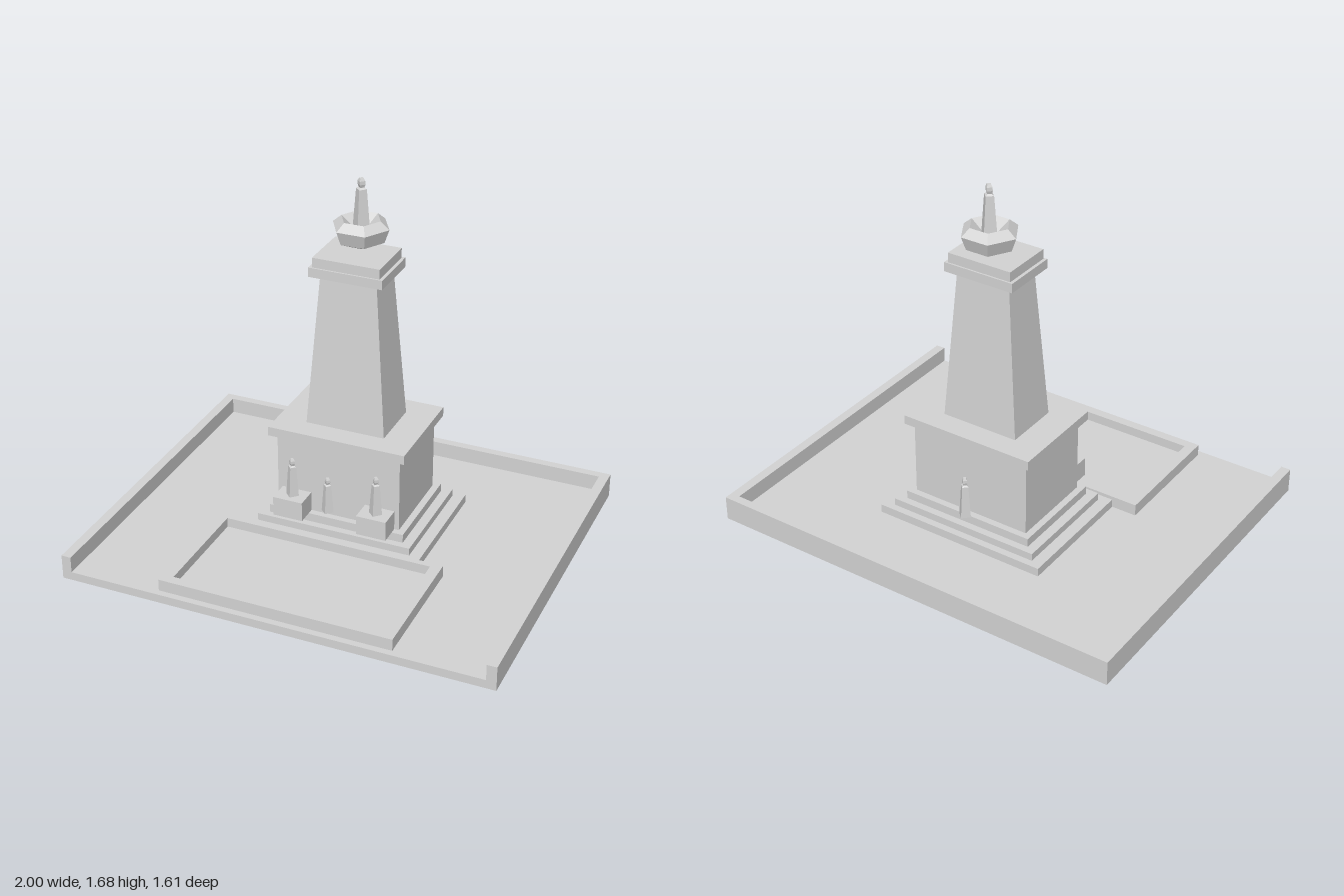
import * as THREE from 'three';

export function createModel() {
  const model = new THREE.Group();
  const stone = new THREE.MeshStandardMaterial({
    color: 0xd4d4d4, flatShading: true, side: THREE.DoubleSide,
  });
  stone.name = 'grey stone';

  const add = (name, geometry, x = 0, y = 0, z = 0) => {
    const mesh = new THREE.Mesh(geometry, stone);
    mesh.name = name;
    mesh.position.set(x, y, z);
    model.add(mesh);
    return mesh;
  };
  // Box given by its limits on each axis
  const block = (name, x0, x1, y0, y1, z0, z1) =>
    add(name, new THREE.BoxGeometry(x1 - x0, y1 - y0, z1 - z0),
      (x0 + x1) / 2, (y0 + y1) / 2, (z0 + z1) / 2);
  const centredBlock = (name, halfX, y0, y1, z0, z1) => block(name, -halfX, halfX, y0, y1, z0, z1);
  const lathe = (profile, sides, start = 0) =>
    new THREE.LatheGeometry(profile.map(([r, y]) => new THREE.Vector2(r, y)), sides, start);

  // Court floor: a shallow shell that is open underneath
  const court = centredBlock('courtFloor', 1, 0, 0.04, -0.805, 0.805).geometry;
  const faces = Array.from(court.index.array);
  faces.splice(18, 6); // drop the bottom face
  court.setIndex(faces);
  court.clearGroups();

  // Low walls on the back and both sides
  centredBlock('courtBackWall', 0.955, 0.04, 0.115, -0.805, -0.765);
  for (const s of [-1, 1]) {
    const [a, b] = [s * 0.955, s].sort((p, q) => p - q);
    block('courtSideWall', a, b, 0.04, 0.115, -0.805, 0.805);
  }

  // Front basin, closed by a rim on all four sides
  centredBlock('basinFloor', 0.49, 0.04, 0.05, 0.22, 0.73);
  centredBlock('basinFrontWall', 0.49, 0.04, 0.095, 0.73, 0.775);
  centredBlock('basinBackWall', 0.49, 0.04, 0.095, 0.192, 0.22);
  for (const s of [-1, 1]) {
    const [a, b] = [s * 0.49, s * 0.54].sort((p, q) => p - q);
    block('basinSideWall', a, b, 0.04, 0.095, 0.192, 0.775);
  }

  // Steps, pedestal and cornice
  centredBlock('lowerStep', 0.42, 0.04, 0.08, -0.42, 0.19);
  centredBlock('middleStep', 0.367, 0.08, 0.115, -0.387, 0.155);
  centredBlock('upperStep', 0.323, 0.115, 0.155, -0.353, 0.122);
  centredBlock('pedestal', 0.292, 0.155, 0.512, -0.322, 0.092);
  centredBlock('pedestalCornice', 0.323, 0.512, 0.555, -0.353, 0.122);

  // Tapered shaft: a box whose upper corners are drawn inwards
  const shaft = new THREE.BoxGeometry(0.37, 0.71, 0.262);
  const p = shaft.attributes.position;
  for (let i = 0; i < p.count; i++) {
    if (p.getY(i) > 0) {
      p.setX(i, Math.sign(p.getX(i)) * 0.13);
      p.setZ(i, Math.sign(p.getZ(i)) * 0.094);
    }
  }
  shaft.computeVertexNormals();
  add('shaft', shaft, 0, 0.91, -0.115);
  centredBlock('lowerCapital', 0.17, 1.265, 1.308, -0.246, 0.016);
  centredBlock('upperCapital', 0.155, 1.308, 1.353, -0.238, 0.008);

  // Six-sided bowl with a hollow top
  add('bowl', lathe([[0, 1.353], [0.108, 1.4], [0.13, 1.462], [0.09, 1.496], [0, 1.42]],
    6, Math.PI / 2), 0, 0, -0.157);

  // Simple four-sided statues, sized by base radius and height
  const statue = (name, x, y, z, radius, height) => {
    const profile = [[0, 0], [1, 0], [0.62, 0.79], [0.32, 0.82], [0.46, 0.88],
      [0.44, 0.95], [0.28, 1], [0, 1]];
    add(name, lathe(profile.map(([r, h]) => [r * radius, h * height]), 4), x, y, z);
  };
  statue('topStatue', 0, 1.45, -0.16, 0.04, 0.226);
  statue('frontStatue', 0, 0.247, 0.205, 0.029, 0.168);
  statue('backStatue', 0, 0.157, -0.361, 0.031, 0.197);
  for (const s of [-1, 1]) {
    block('statuePlinth', s * 0.2 - 0.07, s * 0.2 + 0.07, 0.155, 0.247, 0.085, 0.195);
    statue('sideStatue', s * 0.2, 0.247, 0.14, 0.031, 0.183);
  }

  return model;
}
